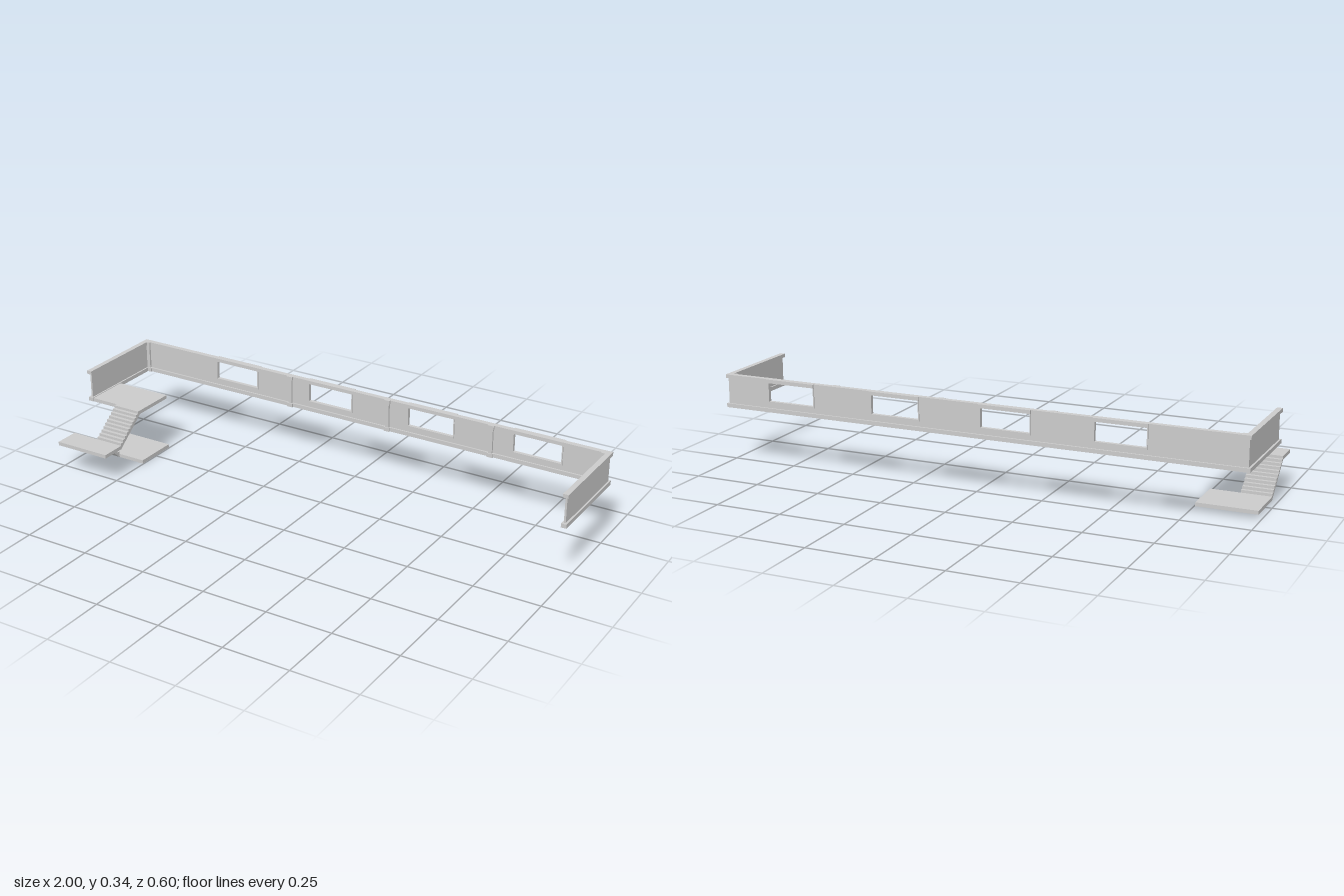
import * as THREE from 'three';

const grey = new THREE.MeshStandardMaterial({ color: 0xcccccc, flatShading: true });

function add(parent, geometry, name) {
  const mesh = new THREE.Mesh(geometry, grey);
  mesh.name = name;
  parent.add(mesh);
  return mesh;
}

// Box given by its limits on each axis
function block(parent, name, [x0, x1], [y0, y1], [z0, z1]) {
  const mesh = add(parent, new THREE.BoxGeometry(x1 - x0, y1 - y0, z1 - z0), name);
  mesh.position.set((x0 + x1) / 2, (y0 + y1) / 2, (z0 + z1) / 2);
  return mesh;
}

const BOTTOM = [0.21, 0.225], WEB = [0.225, 0.3215], TOP = [0.3215, 0.335];
const SILL = 0.25, HALF_WINDOW = 0.093;
const WINDOWS = [-0.551, -0.129, 0.299, 0.725];

// Back wall: web with window openings between two rails
function backWall() {
  const wall = new THREE.Group();
  wall.name = 'backWall';
  const shape = new THREE.Shape();
  shape.moveTo(-0.993, WEB[0]).lineTo(0.993, WEB[0]).lineTo(0.993, WEB[1]);
  // notches for the windows, right to left
  for (const c of [...WINDOWS].reverse()) {
    shape.lineTo(c + HALF_WINDOW, WEB[1]).lineTo(c + HALF_WINDOW, SILL);
    shape.lineTo(c - HALF_WINDOW, SILL).lineTo(c - HALF_WINDOW, WEB[1]);
  }
  shape.lineTo(-0.993, WEB[1]).closePath();
  const web = new THREE.ExtrudeGeometry(shape, { depth: 0.007, bevelEnabled: false });
  add(wall, web, 'backPanel').position.z = -0.29;
  block(wall, 'bottomRail', [-1, 1], BOTTOM, [-0.297, -0.277]);
  block(wall, 'topRail', [-1, 1], TOP, [-0.297, -0.277]);

  for (const c of WINDOWS) {
    const l = c - HALF_WINDOW, r = c + HALF_WINDOW, z = [-0.2935, -0.2795];
    block(wall, 'windowSill', [l - 0.004, r + 0.004], [SILL - 0.006, SILL], z);
    block(wall, 'windowJamb', [l - 0.004, l], [SILL, WEB[1]], z);
    block(wall, 'windowJamb', [r, r + 0.004], [SILL, WEB[1]], z);
    block(wall, 'windowLintel', [l - 0.006, r + 0.006], TOP, [-0.302, -0.29]);
  }

  // Posts with wider caps and feet
  for (const x of [-0.978, -0.305, 0.12, 0.545, 0.978]) {
    block(wall, 'post', [x - 0.007, x + 0.007], WEB, [-0.284, -0.275]);
    for (const y of [BOTTOM, TOP])
      block(wall, 'postCap', [x - 0.012, x + 0.012], y, [-0.28, -0.271]);
  }
  return wall;
}

// Side wall: plain panel between two rails
function sideWall(side) {
  const wall = new THREE.Group();
  wall.name = side < 0 ? 'rightWall' : 'leftWall';
  const span = (a, b) => (side < 0 ? [-b, -a] : [a, b]);
  block(wall, 'sidePanel', span(0.986, 0.993), WEB, [-0.29, 0.073]);
  block(wall, 'bottomRail', span(0.98, 1), BOTTOM, [-0.277, 0.082]);
  block(wall, 'topRail', span(0.98, 1), TOP, [-0.277, 0.082]);
  return wall;
}

// Ten-step flight from [z, y] start to end, with a sloping underside
function flight(parent, name, [x0, x1], start, end, under0, under1) {
  const steps = 10, shape = new THREE.Shape();
  const run = (end[0] - start[0]) / steps, rise = (end[1] - start[1]) / steps;
  shape.moveTo(...under0).lineTo(...start);
  for (let i = 0; i < steps; i++) {
    const y = start[1] + rise * (i + 1);
    shape.lineTo(start[0] + run * i, y).lineTo(start[0] + run * (i + 1), y);
  }
  shape.lineTo(...under1).closePath();
  const geometry = new THREE.ExtrudeGeometry(shape, { depth: x1 - x0, bevelEnabled: false });
  // profile is drawn in (z, y): turn it so its width runs along x
  geometry.rotateY(-Math.PI / 2);
  geometry.translate(x1, 0, 0);
  add(parent, geometry, name);
}

function staircase() {
  const stairs = new THREE.Group();
  stairs.name = 'staircase';
  const x = [-0.977, -0.753];
  block(stairs, 'lowerLanding', x, [0, 0.014], [-0.087, 0.082]);
  block(stairs, 'middleLanding', x, [0.113, 0.127], [0.207, 0.302]);
  block(stairs, 'upperLanding', x, [0.211, 0.225], [-0.087, 0.082]);
  flight(stairs, 'lowerFlight', [-0.977, -0.865],
    [0.082, 0.014], [0.207, 0.117], [0.082, 0], [0.207, 0.113]);
  flight(stairs, 'upperFlight', [-0.865, -0.753],
    [0.207, 0.127], [0.082, 0.225], [0.207, 0.114], [0.082, 0.211]);
  return stairs;
}

export function createModel() {
  const model = new THREE.Group();
  model.name = 'walkwayWithStairs';
  model.add(backWall(), sideWall(-1), sideWall(1), staircase());
  return model;
}
